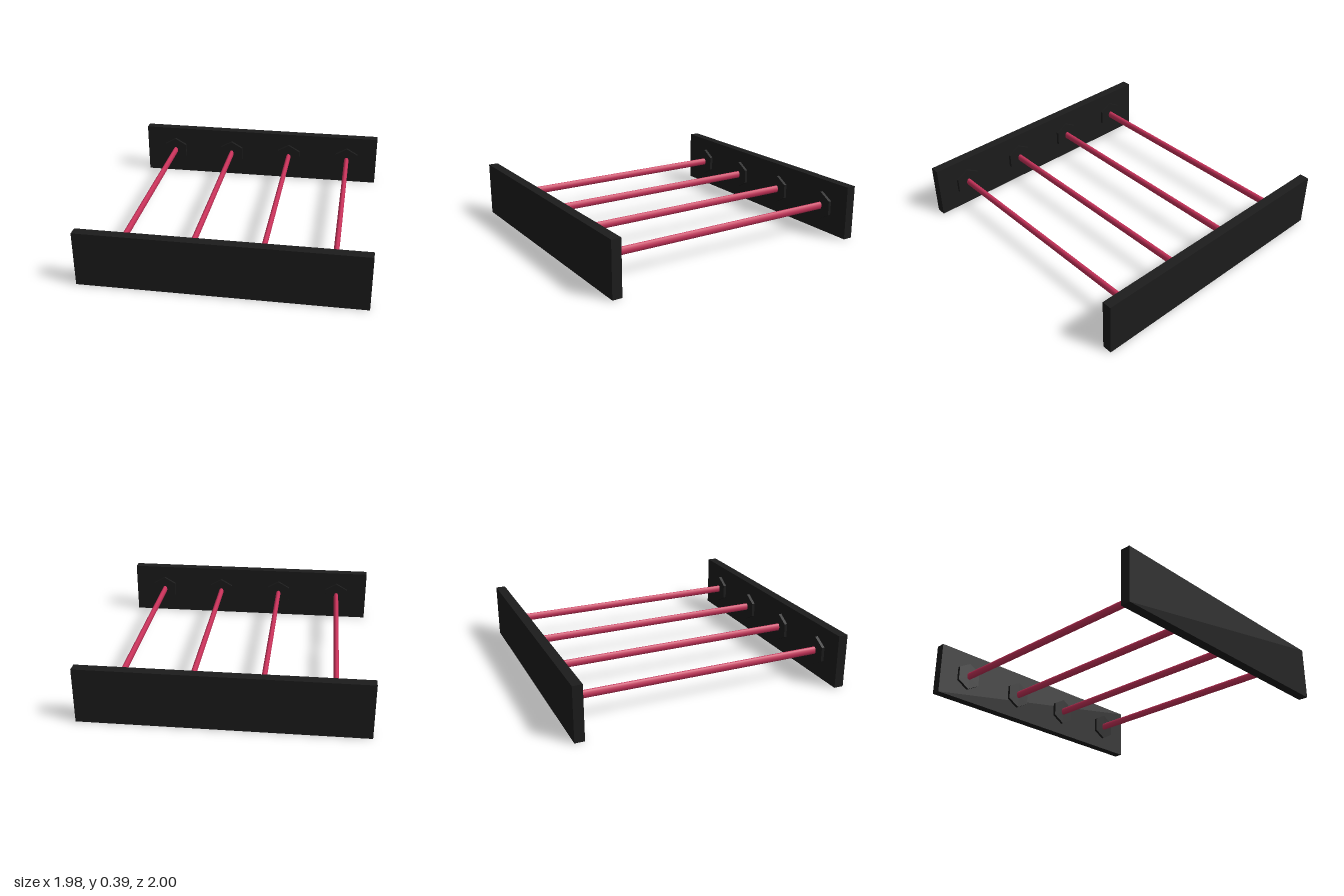
import * as THREE from 'three';

export function createModel() {
  const group = new THREE.Group();
  const black = new THREE.MeshStandardMaterial({ color: 0x1c1c1c, flatShading: true });
  const red = new THREE.MeshStandardMaterial({ color: 0xc8325a });
  const midY = 0.197;

  const add = (name, geometry, material, x, z) => {
    const mesh = new THREE.Mesh(geometry, material);
    mesh.name = name;
    mesh.position.set(x, midY, z);
    group.add(mesh);
  };

  const boardGeo = new THREE.BoxGeometry(1.976, 0.394, 0.07);
  // Discs and rods lie along z
  const discGeo = new THREE.CylinderGeometry(0.106, 0.106, 0.024, 6).rotateX(Math.PI / 2);
  const rodGeo = new THREE.CylinderGeometry(0.029, 0.029, 1.84, 12).scale(0.66, 1, 1).rotateX(Math.PI / 2);

  // End boards
  for (const side of [1, -1]) add(side > 0 ? 'frontBoard' : 'backBoard', boardGeo, black, 0, side * 0.965);

  // Four rods with a mounting disc at each end
  for (let i = 0; i < 4; i++) {
    const x = (i - 1.5) * 0.494;
    add('rod', rodGeo, red, x, 0);
    for (const side of [1, -1]) add('mountingDisc', discGeo, black, x, side * 0.92);
  }
  return group;
}
